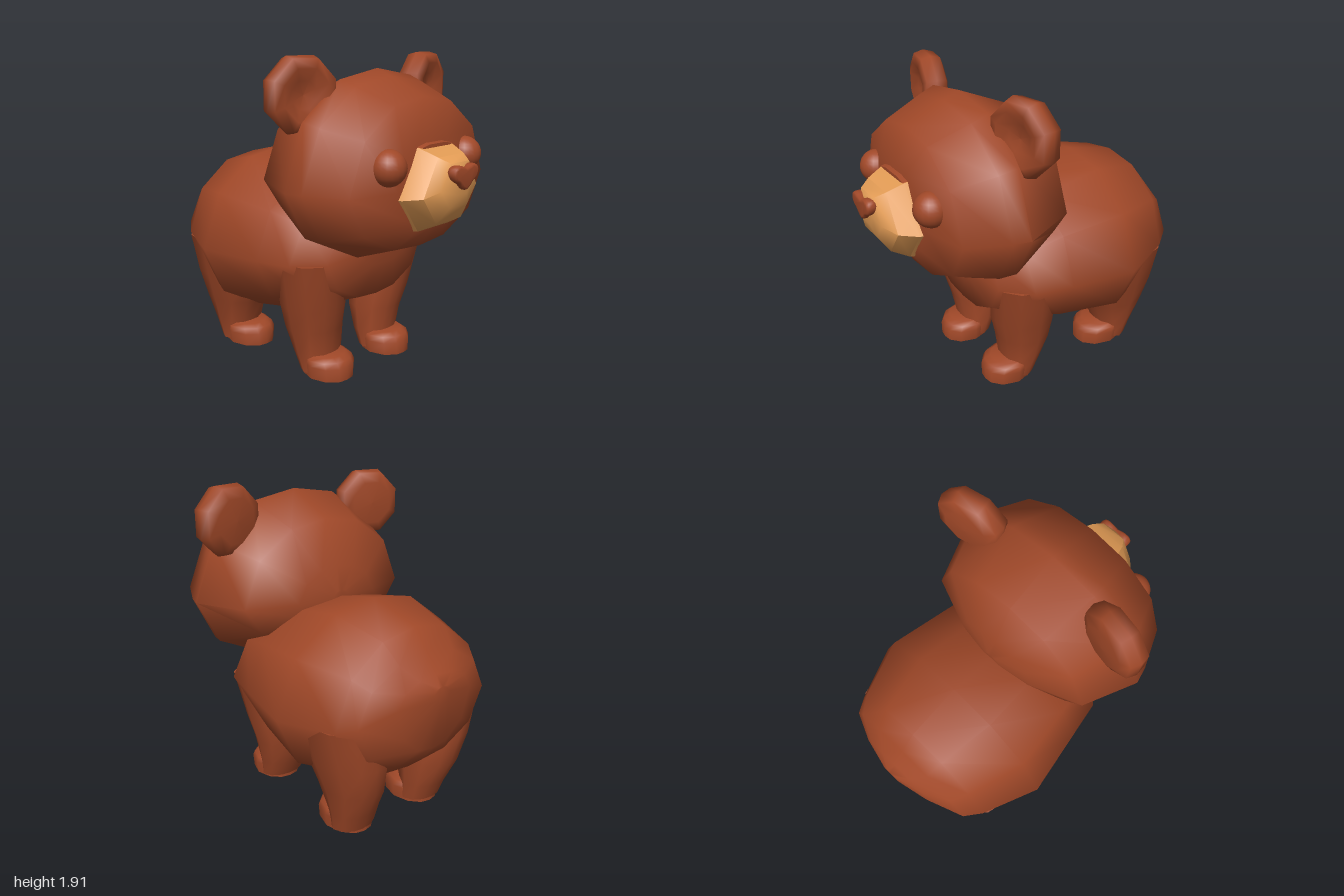
import * as THREE from 'three';
import { toCreasedNormals } from 'three/addons/utils/BufferGeometryUtils.js';

const fur = new THREE.MeshStandardMaterial({ color: 0xa04828 });
fur.name = 'brown fur';
const tan = new THREE.MeshStandardMaterial({ color: 0xe39c55 });
tan.name = 'tan muzzle';

// Right half of a rounded 12-sided cross-section, top to bottom
const HALF = [[0, 1], [0.42, 0.92], [0.81, 0.58], [1, 0], [0.8, -0.62], [0.38, -0.95], [0, -1]];
const ROUND = [...HALF, ...HALF.slice(1, -1).reverse().map(([x, y]) => [-x, y])];
const HEX = [[0.5, 1], [1, -0.15], [0.5, -1], [-0.5, -1], [-1, -0.15], [-0.5, 1]];

// Skin over sections [z, centreX, halfWidth, bottom, top, widestY], from back to front
function loft(sections, outline = ROUND, crease = 1.1) {
  const n = outline.length, pos = [], idx = [];
  for (const [z, cx, w, lo, hi, mid = (lo + hi) / 2] of sections) {
    for (const [u, v] of outline) pos.push(cx + u * w, mid + v * (v > 0 ? hi - mid : mid - lo), z);
  }
  for (let i = 0; i < sections.length - 1; i++) {
    for (let j = 0; j < n; j++) {
      const a = i * n + j, b = i * n + (j + 1) % n;
      idx.push(a, a + n, b, b, a + n, b + n);
    }
  }
  const last = (sections.length - 1) * n;
  for (let j = 1; j < n - 1; j++) idx.push(0, j, j + 1, last, last + j + 1, last + j);
  const g = new THREE.BufferGeometry();
  g.setAttribute('position', new THREE.Float32BufferAttribute(pos, 3));
  g.setIndex(idx);
  return toCreasedNormals(g, crease);
}

// Upright loft from sections [y, innerX, outerX, backZ, frontZ]
function upright(sections, side) {
  const g = loft(sections.map(([y, xi, xo, zb, zf]) =>
    [y, side * (xi + xo) / 2, (xo - xi) / 2, -zf, -zb]));
  return g.rotateX(-Math.PI / 2);
}

export function createModel() {
  const bear = new THREE.Group();
  bear.name = 'bear';
  const add = (name, geometry, material = fur) => {
    const mesh = new THREE.Mesh(geometry, material);
    mesh.name = name;
    bear.add(mesh);
    return mesh;
  };

  // Torso, rump to chest
  add('body', loft([
    [-1.0, 0, 0.06, 0.87, 0.97, 0.93],
    [-0.95, 0, 0.27, 0.58, 1.02, 0.88],
    [-0.87, 0, 0.47, 0.47, 1.12, 0.8],
    [-0.77, 0, 0.54, 0.38, 1.24, 0.76],
    [-0.43, 0, 0.68, 0.25, 1.32, 0.74],
    [-0.02, 0, 0.61, 0.32, 1.23, 0.74],
    [0.22, 0, 0.57, 0.43, 1.13, 0.75],
    [0.38, 0, 0.42, 0.49, 1.05, 0.76],
    [0.44, 0, 0.22, 0.7, 0.95, 0.8],
  ]));

  // Head, nape to face
  add('head', loft([
    [-0.13, 0, 0.06, 1.19, 1.29, 1.24],
    [-0.09, 0, 0.28, 1.08, 1.43, 1.24],
    [0.03, 0, 0.58, 0.96, 1.7, 1.23],
    [0.36, 0, 0.72, 0.78, 1.84, 1.22],
    [0.46, 0, 0.695, 0.77, 1.8, 1.22],
    [0.7, 0, 0.59, 0.86, 1.7, 1.22],
    [0.77, 0, 0.3, 0.97, 1.5, 1.22],
    [0.79, 0, 0.12, 1.1, 1.34, 1.22],
  ]));

  // Muzzle
  add('muzzle', loft([
    [0.7, 0, 0.3, 0.97, 1.45],
    [0.79, 0, 0.285, 0.985, 1.44],
    [0.89, 0, 0.23, 1.04, 1.4],
    [0.95, 0, 0.16, 1.13, 1.37],
    [0.97, 0, 0.09, 1.2, 1.35],
  ], HEX, 0.9), tan);
  // Brown bridge across the top of the muzzle
  add('muzzleBridge', loft([
    [0.72, 0, 0.15, 1.44, 1.475],
    [0.8, 0, 0.14, 1.43, 1.455],
  ], HEX));

  // Nose: rounded triangle with a notch at the top
  const nose = new THREE.Shape();
  nose.moveTo(0, 1.345);
  nose.quadraticCurveTo(0.09, 1.385, 0.11, 1.33);
  nose.quadraticCurveTo(0.11, 1.28, 0.06, 1.265);
  nose.quadraticCurveTo(0.02, 1.225, 0, 1.225);
  nose.quadraticCurveTo(-0.02, 1.225, -0.06, 1.265);
  nose.quadraticCurveTo(-0.11, 1.28, -0.11, 1.33);
  nose.quadraticCurveTo(-0.09, 1.385, 0, 1.345);
  const noseGeo = new THREE.ExtrudeGeometry(nose, {
    depth: 0.03, bevelThickness: 0.015, bevelSize: 0.015, bevelOffset: -0.015, bevelSegments: 2, curveSegments: 5,
  });
  add('nose', toCreasedNormals(noseGeo, 1.1).translate(0, 0, 0.955));

  // Dished ear profile, back to front
  const earProfile = [[0, -0.09], [0.14, -0.085], [0.205, -0.06], [0.222, 0], [0.205, 0.06], [0.15, 0.075], [0.08, 0.04], [0, 0.03]]
    .map(([r, y]) => new THREE.Vector2(r, y));

  for (const side of [1, -1]) {
    const label = side > 0 ? 'left' : 'right';

    const ear = add(label + 'Ear', new THREE.LatheGeometry(earProfile, 8, Math.PI / 8).rotateX(Math.PI / 2));
    ear.position.set(side * 0.525, 1.715, 0.28);
    ear.rotation.y = side * 0.2;

    add(label + 'Eye', new THREE.SphereGeometry(0.1, 20, 14)).position.set(side * 0.34, 1.355, 0.74);

    // Legs, paw to shoulder or hip
    add(label + 'FrontLeg', upright([
      [0.03, 0.12, 0.41, 0.07, 0.26],
      [0.14, 0.105, 0.43, 0.02, 0.26],
      [0.3, 0.1, 0.465, -0.045, 0.29],
      [0.45, 0.1, 0.505, -0.06, 0.33],
      [0.75, 0.16, 0.57, -0.05, 0.37],
    ], side));
    add(label + 'HindLeg', upright([
      [0.03, 0.13, 0.42, -0.7, -0.5],
      [0.14, 0.12, 0.44, -0.74, -0.49],
      [0.31, 0.11, 0.48, -0.82, -0.41],
      [0.5, 0.1, 0.54, -0.86, -0.33],
      [0.75, 0.16, 0.6, -0.86, -0.3],
    ], side));

    // Paws
    for (const [name, back, front] of [['FrontPaw', 0.07, 0.39], ['HindPaw', -0.7, -0.35]]) {
      add(label + name, upright([
        [0.01, 0.12, 0.41, back, front],
        [0.09, 0.11, 0.42, back, front],
        [0.125, 0.12, 0.415, back, front - 0.02],
        [0.145, 0.15, 0.39, back + 0.02, front - 0.06],
      ], side));
    }
  }
  return bear;
}
